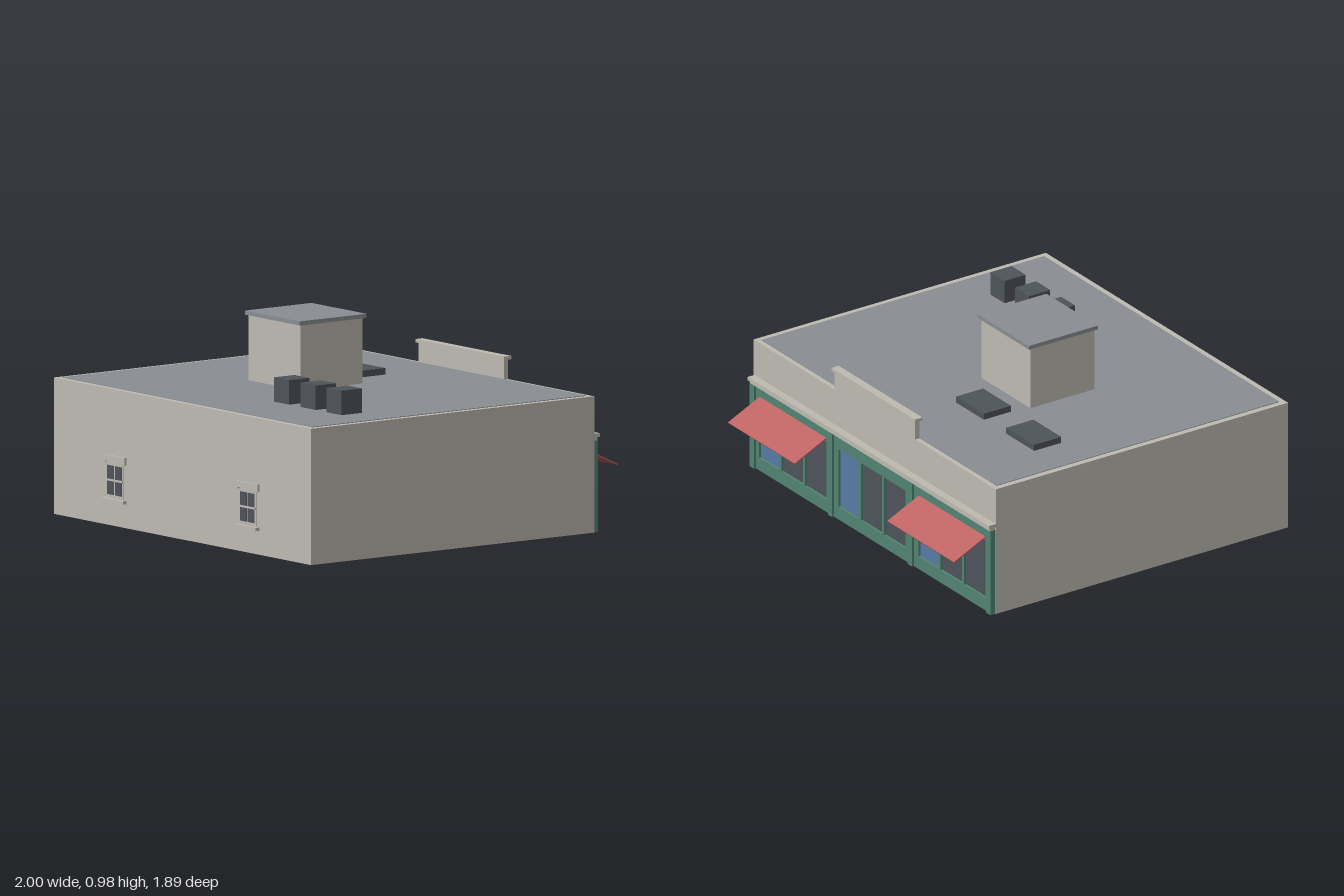
import * as THREE from 'three';

const paint = (name, color) => {
  const m = new THREE.MeshStandardMaterial({ color });
  m.name = name;
  return m;
};

export function createModel() {
  const wall = paint('stone wall', 0xbfbbb3);
  const roofing = paint('grey roofing', 0x8b8e93);
  const dark = paint('dark grey', 0x4f535b);
  const green = paint('green shopfront', 0x528573);
  const blue = paint('blue glass', 0x587ba6);
  const red = paint('red awning', 0xbc6261);

  const model = new THREE.Group();
  model.name = 'shopBuilding';

  // Box given by its lower and upper limits on each axis
  const box = (name, mat, x0, x1, y0, y1, z0, z1, parent = model) => {
    const mesh = new THREE.Mesh(new THREE.BoxGeometry(x1 - x0, y1 - y0, z1 - z0), mat);
    mesh.position.set((x0 + x1) / 2, (y0 + y1) / 2, (z0 + z1) / 2);
    mesh.name = name;
    parent.add(mesh);
    return mesh;
  };
  const group = (name) => {
    const g = new THREE.Group();
    g.name = name;
    model.add(g);
    return g;
  };

  // Main block and roof surface
  box('building', wall, -1, 1, 0, 0.648, -0.75, 0.92);
  box('roof', roofing, -0.97, 0.97, 0.645, 0.651, -0.725, 0.89);

  // Raised parapet over the shopfront
  box('parapet', wall, -0.335, 0.33, 0.645, 0.745, -0.75, -0.727);
  box('parapetCap', wall, -0.348, 0.342, 0.743, 0.759, -0.76, -0.718);

  // Stair house
  box('stairHouse', wall, -0.365, 0.04, 0.648, 0.963, -0.113, 0.253);
  box('stairHouseRoof', roofing, -0.375, 0.05, 0.962, 0.982, -0.127, 0.266);

  // Roof vents and skylights
  for (const x of [0.298, 0.505, 0.708]) {
    box('roofVent', dark, x - 0.058, x + 0.058, 0.648, 0.767, 0.442, 0.562);
  }
  for (const x of [-0.645, -0.23]) {
    box('skylight', dark, x - 0.115, x + 0.115, 0.648, 0.682, -0.365, -0.21);
  }

  // Sash windows on the front wall
  for (const x of [-0.52, 0.513]) {
    const win = group('window');
    box('windowFrame', wall, x - 0.064, x + 0.064, 0.13, 0.31, 0.915, 0.925, win);
    box('windowRail', wall, x - 0.064, x + 0.064, 0.212, 0.22, 0.92, 0.93, win);
    box('lintel', wall, x - 0.085, x + 0.085, 0.306, 0.334, 0.915, 0.931, win);
    box('sill', wall, x - 0.086, x + 0.086, 0.114, 0.13, 0.915, 0.942, win);
    for (const s of [-1, 1]) {
      box('lintelEnd', wall, x + s * 0.077 - 0.008, x + s * 0.077 + 0.008, 0.298, 0.31, 0.915, 0.931, win);
      for (const y of [0.179, 0.254]) {
        const cx = x + s * 0.03;
        box('windowPane', dark, cx - 0.026, cx + 0.026, y - 0.032, y + 0.032, 0.922, 0.927, win);
      }
    }
  }

  // Shopfront cornice in two steps
  box('cornice', wall, -1, 0.99, 0.45, 0.468, -0.79, -0.745);
  box('corniceBase', wall, -0.995, 0.985, 0.435, 0.452, -0.78, -0.745);

  // Green shopfront frame with an opening for each pane
  const frame = new THREE.Shape([[-0.99, 0], [0.985, 0], [0.985, 0.437], [-0.99, 0.437]]
    .map(([x, y]) => new THREE.Vector2(x, y)));
  const panes = [[0.11, 0.275, blue], [-0.087, 0.09, dark], [-0.28, -0.103, dark]];
  const shop = group('shopfront');
  for (const bay of [-0.66, 0, 0.655]) {
    for (const [a, b, mat] of panes) {
      const x0 = bay + a, x1 = bay + b;
      frame.holes.push(new THREE.Path([[x0, 0.065], [x0, 0.365], [x1, 0.365], [x1, 0.065]]
        .map(([x, y]) => new THREE.Vector2(x, y))));
      box('shopPane', mat, x0 - 0.003, x1 + 0.003, 0.06, 0.37, -0.755, -0.749, shop);
    }
  }
  const frameMesh = new THREE.Mesh(
    new THREE.ExtrudeGeometry(frame, { depth: 0.018, bevelEnabled: false }), green);
  frameMesh.position.z = -0.767;
  frameMesh.name = 'shopFrame';
  shop.add(frameMesh);

  // Pilasters between and beside the bays
  for (const x of [-0.978, -0.33, 0.328, 0.973]) {
    box('pilaster', green, x - 0.018, x + 0.018, 0, 0.436, -0.778, -0.75, shop);
  }

  // Sloping awnings over the outer bays
  const top = new THREE.Vector2(-0.765, 0.382), low = new THREE.Vector2(-0.947, 0.297);
  for (const x of [-0.665, 0.65]) {
    const slope = Math.atan2(top.y - low.y, top.x - low.x);
    const awning = new THREE.Mesh(new THREE.BoxGeometry(0.55, 0.006, top.distanceTo(low)), red);
    awning.position.set(x, (top.y + low.y) / 2, (top.x + low.x) / 2);
    awning.rotation.x = -slope;
    awning.name = 'awning';
    model.add(awning);
  }
  return model;
}
